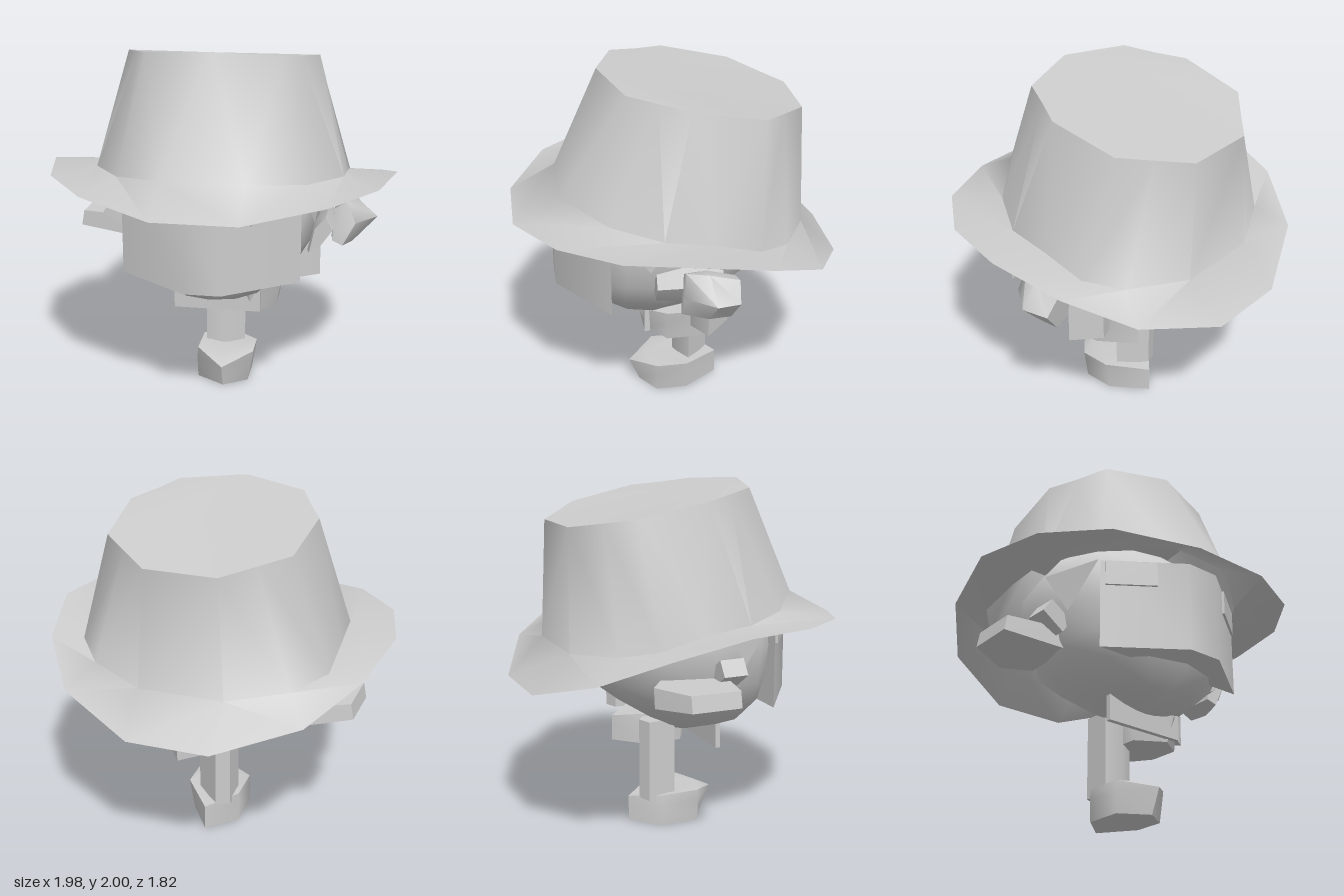
import * as THREE from 'three';
import { toCreasedNormals } from 'three/addons/utils/BufferGeometryUtils.js';

const material = new THREE.MeshStandardMaterial({ color: 0xcccccc, side: THREE.DoubleSide });

// Skin rings of [x, y, z] points, counter-clockwise about the loft direction.
function loft(rings, capStart = true) {
  const n = rings[0].length;
  const pos = rings.flat(2);
  const index = [];
  for (let i = 0; i < rings.length - 1; i++) {
    for (let j = 0; j < n; j++) {
      const k = (j + 1) % n;
      const a = i * n + j, b = i * n + k, c = b + n, d = a + n;
      // Mirror the diagonals on the second half of the ring
      if (j < n / 2) index.push(a, b, c, a, c, d);
      else index.push(a, b, d, b, c, d);
    }
  }
  const cap = (ring, flip) => {
    const s = pos.length / 3;
    pos.push(...ring.flat());
    for (let j = 1; j < n - 1; j++) index.push(s, s + (flip ? j + 1 : j), s + (flip ? j : j + 1));
  };
  if (capStart) cap(rings[0], true);
  cap(rings[rings.length - 1], false);
  const g = new THREE.BufferGeometry();
  g.setAttribute('position', new THREE.Float32BufferAttribute(pos, 3));
  g.setIndex(index);
  return toCreasedNormals(g, 1.05);
}

// Complete a half ring (front to back on the +x side) with its mirror image.
const mirror = (half) => [...half, ...half.map(([x, y, z]) => [-x, y, z]).reverse()];

export function createModel() {
  const model = new THREE.Group();
  const add = (name, geometry, x = 0, y = 0, z = 0) => {
    const m = new THREE.Mesh(geometry, material);
    m.name = name;
    m.position.set(x, y, z);
    model.add(m);
    return m;
  };

  // Hat: tilted crown flowing into a brim that dips at front and back
  const brimEdge = mirror([[.23, 1.22, .91], [.65, 1.27, .7], [.9, 1.29, .39], [.99, 1.29, 0],
    [.9, 1.19, -.39], [.67, 1.04, -.71], [.23, .91, -.91]]);
  const crownBase = mirror([[.23, 1.36, .65], [.52, 1.31, .42], [.7, 1.29, .15], [.71, 1.26, -.1],
    [.71, 1.2, -.36], [.56, 1.15, -.54], [.24, 1.12, -.7]]);
  const crownTop = mirror([[.01, 2, .41], [.37, 1.975, .3], [.45, 1.95, .14], [.54, 1.93, -.02],
    [.51, 1.85, -.41], [.36, 1.82, -.54], [.2, 1.79, -.68]]);
  add('hat', loft([brimEdge, crownBase, crownTop], false));

  // Head: egg with its lowest point towards the chin, given as [y, half width, back z, front z]
  const levels = [[.56, .08, 0, .15], [.63, .28, -.13, .44], [.76, .44, -.33, .55], [.9, .53, -.51, .6],
    [1.1, .58, -.59, .63], [1.3, .58, -.6, .58], [1.5, .42, -.45, .35]];
  add('head', loft(levels.map(([y, w, back, front]) =>
    Array.from({ length: 12 }, (_, i) => {
      const a = (i / 12) * Math.PI * 2;
      return [w * Math.sin(a), y, (front + back) / 2 + (front - back) / 2 * Math.cos(a)];
    }))));

  // Face mask wrapping back on both sides
  const mask = (y) => mirror([[.1, y, .69], [.495, y, .41]]);
  add('faceMask', loft([mask(.755), mask(1.27)]));

  for (const s of [1, -1]) {
    const side = s > 0 ? 'left' : 'right';
    // Eye patch lying on the slanted mask side
    const eye = add(side + 'Eye', new THREE.BoxGeometry(.28, .14, .02), s * .36, 1.19, .51);
    eye.rotation.y = s * Math.atan2(.28, .395);
    // Pointed sideburn lying against the head
    const sideburn = new THREE.BufferGeometry().setFromPoints([
      new THREE.Vector3(s * .5, 1.28, .4),
      new THREE.Vector3(s * .55, 1.03, .2),
      new THREE.Vector3(s * .6, 1.28, .05),
    ]);
    sideburn.computeVertexNormals();
    add(side + 'Sideburn', sideburn);
  }

  // Neck plate under the chin
  add('neckPlate', new THREE.BoxGeometry(.5, .16, .03), 0, .555, .185);

  // Feet: diamond plan with a pointed toe and heel
  const footRing = (yToe, yMid, yHeel, toe, right, left) => [
    [.035, yToe, toe], [right, yMid, .12], [right, yMid, -.06],
    [.03, yHeel, -.26], [left, yMid, -.11], [left, yMid, .11],
  ];
  const footGeometry = loft([
    footRing(0, 0, 0, .21, .17, -.13),
    footRing(.14, .12, .1, .27, .19, -.135),
    footRing(.19, .185, .15, .17, .2, -.13),
  ]);
  add('rightFoot', footGeometry);
  add('leftFoot', footGeometry, .155, .46, -.04);

  // Legs: five-sided posts
  const legPlan = [[0, 0], [.125, -.08], [-.02, -.21], [-.1, -.18], [-.1, -.02]];
  const leg = (bottom, top) => loft([bottom, top].map((y) => legPlan.map(([x, z]) => [x, y, z])));
  add('rightLeg', leg(.15, .63));
  add('leftLeg', leg(.61, .97), .44, 0, -.035);

  // Raised left hand: a fist bulging outwards, with its thumb on the inner side
  add('leftHand', loft([
    [[.65, .88, -.2], [.74, .84, -.2], [.84, .97, -.23], [.76, 1.07, -.24], [.67, 1.05, -.23]],
    [[.63, .87, -.08], [.75, .84, -.08], [.89, .99, -.1], [.76, 1.11, -.08], [.65, 1.08, -.08]],
    [[.64, .88, .05], [.7, .855, .06], [.77, .99, .055], [.72, 1.11, .04], [.65, 1.07, .04]],
  ]));
  const thumb = [[.5, .81], [.58, .86], [.67, .99], [.62, 1.09], [.54, 1]];
  const thumbRing = (z, scale) => thumb.map(([x, y]) => [.58 + (x - .58) * scale, .95 + (y - .95) * scale, z]);
  add('leftThumb', loft([thumbRing(-.18, .75), thumbRing(.04, 1), thumbRing(.18, .75)]));

  // Flat right hand, palm down
  const palm = [[-.84, .03], [-.48, .1], [-.45, -.25], [-.6, -.36], [-.83, -.25]];
  add('rightHand', loft([
    palm.map(([x, z]) => [x, .89 + (x + .84) * -.09, z]),
    palm.map(([x, z]) => [x * .98, .98, z]),
  ]));
  const rightThumb = add('rightThumb', new THREE.BoxGeometry(.16, .1, .14), -.58, 1.01, .08);
  rightThumb.rotation.z = -.6;

  return model;
}
